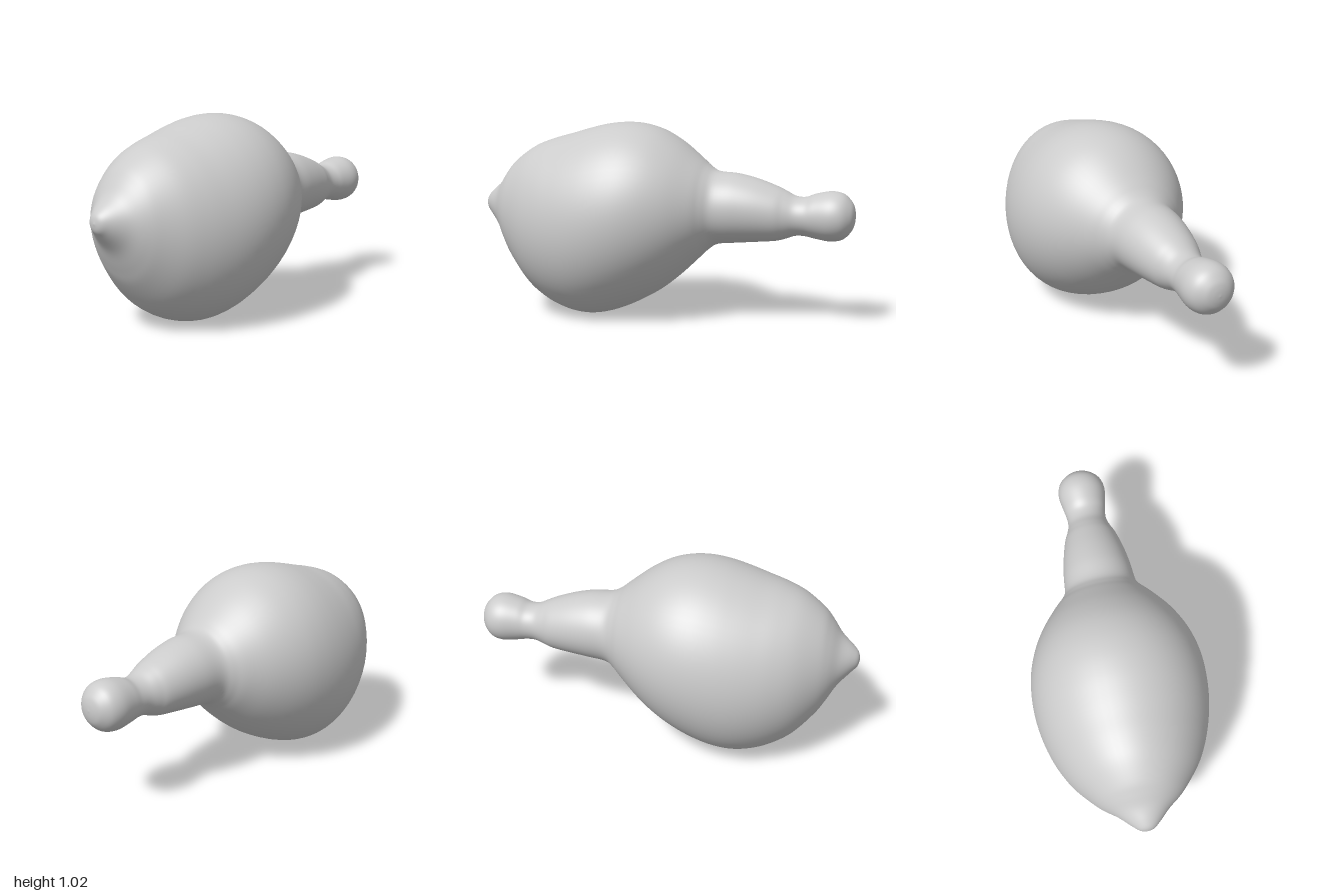
import * as THREE from 'three';

// Cross-sections along the body: x, top y, bottom y, half-width in z
const SECTIONS = [
  [-1.0, 0.578, 0.578, 0], [-0.99, 0.615, 0.54, 0.036], [-0.96, 0.648, 0.505, 0.072],
  [-0.9, 0.7, 0.43, 0.132], [-0.85, 0.768, 0.335, 0.193], [-0.8, 0.825, 0.25, 0.242],
  [-0.7, 0.895, 0.13, 0.322], [-0.6, 0.935, 0.06, 0.377], [-0.5, 0.963, 0.02, 0.415],
  [-0.4, 0.992, 0.004, 0.44], [-0.3, 1.016, 0.015, 0.452], [-0.2, 1.027, 0.048, 0.451],
  [-0.1, 1.02, 0.095, 0.435], [0, 0.99, 0.155, 0.4], [0.1, 0.932, 0.235, 0.345],
  [0.2, 0.852, 0.33, 0.268], [0.25, 0.81, 0.377, 0.222], [0.3, 0.784, 0.407, 0.191],
  [0.4, 0.775, 0.418, 0.18], [0.5, 0.752, 0.427, 0.164], [0.6, 0.717, 0.437, 0.14],
  [0.65, 0.694, 0.45, 0.12], [0.7, 0.67, 0.467, 0.105], [0.75, 0.667, 0.468, 0.105],
  [0.8, 0.685, 0.458, 0.114], [0.88, 0.7, 0.447, 0.127], [0.94, 0.688, 0.46, 0.114],
  [0.98, 0.65, 0.5, 0.075], [0.995, 0.615, 0.537, 0.039], [1.0, 0.576, 0.576, 0],
];

// Smooth closed skin through elliptical rings
function loftAlongX(sections, rings, sides) {
  const spline = (pick) => new THREE.CatmullRomCurve3(
    sections.map((s) => new THREE.Vector3(...pick(s))), false, 'catmullrom', 0.5);
  const heights = spline(([x, top, bottom]) => [x, top, bottom]);
  const widths = spline(([x, , , w]) => [x, w, 0]);
  const positions = [];
  const index = [];
  for (let i = 0; i <= rings; i++) {
    const { x, y: top, z: bottom } = heights.getPoint(i / rings);
    const w = widths.getPoint(i / rings).y;
    for (let j = 0; j < sides; j++) {
      const a = (j / sides) * Math.PI * 2;
      positions.push(x, (top + bottom) / 2 + Math.cos(a) * (top - bottom) / 2, Math.sin(a) * w);
      if (i === rings) continue;
      const p = i * sides + j;
      const q = i * sides + (j + 1) % sides;
      if (i > 0) index.push(p, q, p + sides);
      if (i < rings - 1) index.push(q, q + sides, p + sides);
    }
  }
  const geometry = new THREE.BufferGeometry();
  geometry.setAttribute('position', new THREE.Float32BufferAttribute(positions, 3));
  geometry.setIndex(index);
  geometry.computeVertexNormals();
  return geometry;
}

export function createModel() {
  const model = new THREE.Group();
  const material = new THREE.MeshStandardMaterial({ color: 0xcccccc });
  // Bulbous body with pointed tip, narrowing to a neck and a round knob
  const body = new THREE.Mesh(loftAlongX(SECTIONS, (SECTIONS.length - 1) * 5, 64), material);
  body.name = 'bulbBodyWithNeckAndKnob';
  model.add(body);
  return model;
}
